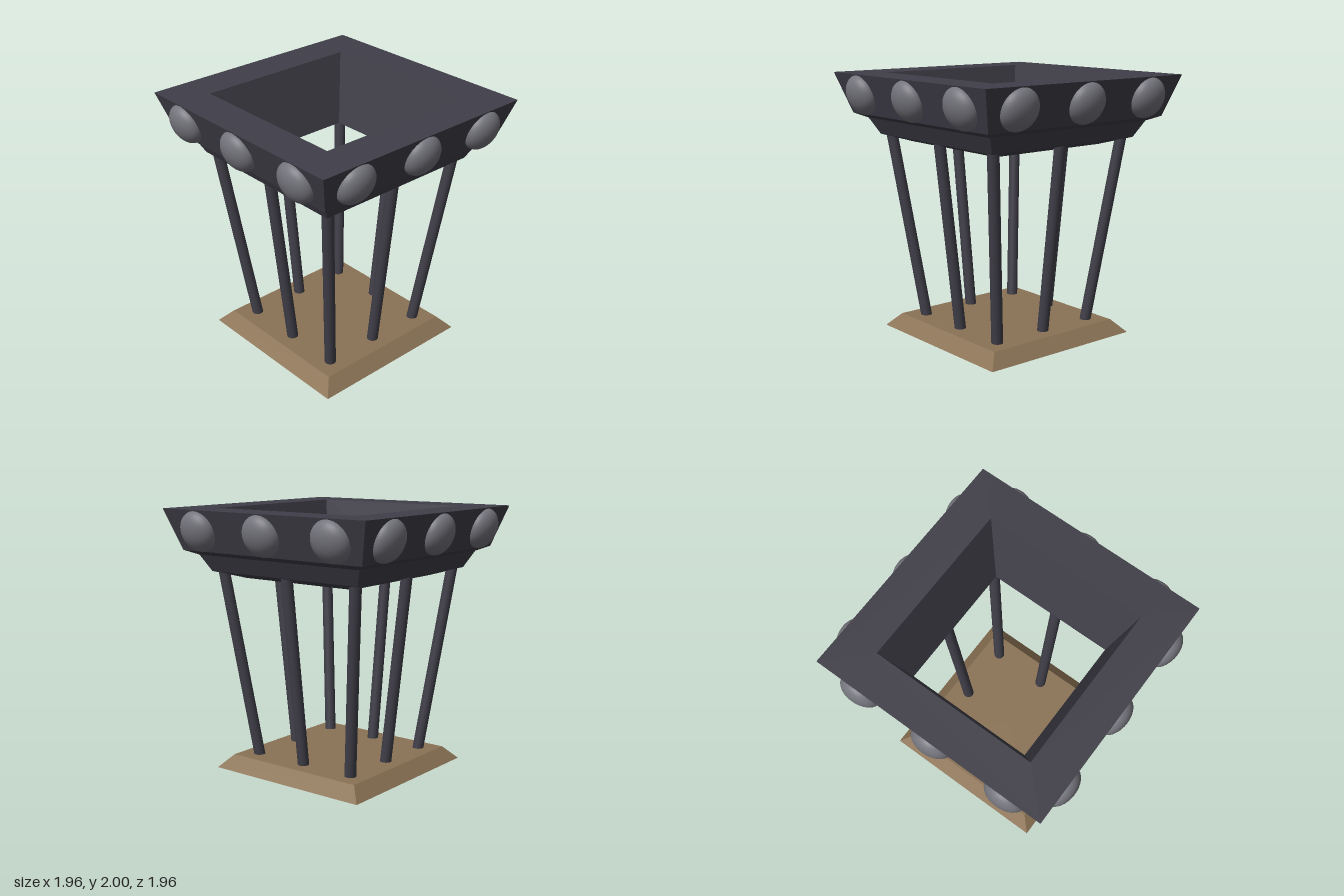
import * as THREE from 'three';

const paint = (name, color) => {
  const m = new THREE.MeshStandardMaterial({ color });
  m.name = name;
  return m;
};

// Flat-faced copy of a geometry
function faceted(geometry) {
  const g = geometry.toNonIndexed();
  g.computeVertexNormals();
  return g;
}

export function createModel() {
  const model = new THREE.Group();
  model.name = 'squareCrownedStand';
  const iron = paint('dark iron', 0x403e48);
  const wood = paint('brown wood', 0x8b7355);
  const steel = paint('grey steel', 0x74747c);

  const add = (parent, name, geometry, material) => {
    const mesh = new THREE.Mesh(geometry, material);
    mesh.name = name;
    parent.add(mesh);
    return mesh;
  };

  // Bevelled square base
  const base = new THREE.CylinderGeometry(0.58 * Math.SQRT2, 0.673 * Math.SQRT2, 0.1, 4, 1, false, Math.PI / 4);
  add(model, 'base', faceted(base), wood).position.y = 0.05;

  // Hollow square crown: a closed profile of half-widths and heights, turned in four sides
  const profile = [
    [0.495, 1.475], [0.677, 1.532], [0.742, 1.656], [0.825, 1.693],
    [0.925, 2], [0.638, 2], [0.495, 1.475],
  ].map(([r, y]) => new THREE.Vector2(r * Math.SQRT2, y));
  add(model, 'crown', faceted(new THREE.LatheGeometry(profile, 4, Math.PI / 4)), iron);

  // Eight posts leaning outwards, with level ends
  const posts = new THREE.Group();
  posts.name = 'posts';
  model.add(posts);
  const low = 0.095, high = 1.53;
  for (const sx of [-1, 0, 1]) {
    for (const sz of [-1, 0, 1]) {
      if (!sx && !sz) continue;
      const g = new THREE.CylinderGeometry(0.043, 0.043, high - low, 20);
      const lean = 0.172 / (high - low);
      g.applyMatrix4(new THREE.Matrix4().set(
        1, sx * lean, 0, sx * 0.528,
        0, 1, 0, (low + high) / 2,
        0, sz * lean, 1, sz * 0.528,
        0, 0, 0, 1));
      add(posts, 'post', g, iron);
    }
  }

  // Three flattened studs on each sloping side of the crown
  const tilt = Math.atan2(0.1, 0.307);
  for (let i = 0; i < 4; i++) {
    const side = new THREE.Group();
    side.name = 'studRow';
    side.rotation.y = i * Math.PI / 2;
    model.add(side);
    for (const x of [-0.608, 0, 0.608]) {
      const stud = add(side, 'stud', new THREE.SphereGeometry(1, 32, 20), steel);
      stud.scale.set(0.155, 0.155, 0.097);
      stud.rotation.x = tilt;
      stud.position.set(x, 1.845, 0.875);
    }
  }
  return model;
}
